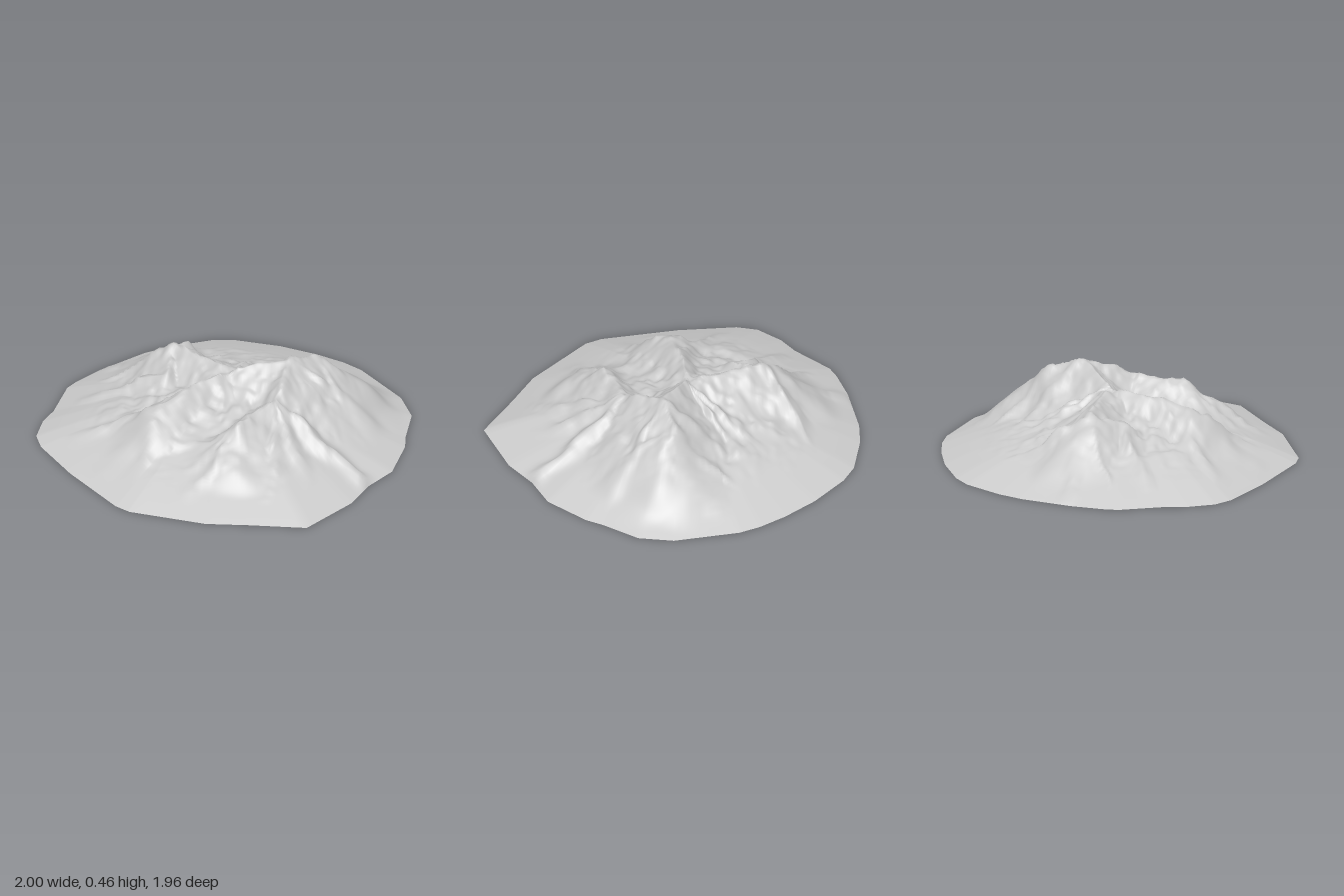
import * as THREE from 'three';

const { lerp, clamp, smoothstep } = THREE.MathUtils;

// Foot of the mountain as [x, z], clockwise seen from above
const FOOT = [
  [-1, -.1], [-.98, -.18], [-.91, -.35], [-.76, -.61], [-.66, -.73], [-.47, -.89], [-.35, -.94], [-.1, -.98],
  [.12, -.98], [.29, -.96], [.41, -.925], [.73, -.74], [.86, -.59], [.92, -.37], [.96, -.27], [1, 0],
  [.945, .19], [.93, .4], [.81, .74], [.51, .84], [.28, .925], [-.155, .975], [-.25, .95], [-.62, .73],
  [-.88, .535], [-.95, .44], [-.98, .28], [-.97, .155],
];

// Tops as [x, z, height]
const TOPS = {
  saddle: [.02, -.05, .39], summit: [.3, -.18, .475], back: [.41, -.34, .4], east: [.36, .1, .36],
  front: [.23, .4, .35], middle: [-.14, .2, .365], west: [-.24, .36, .35], left: [-.42, -.21, .375],
  ledge: [-.38, -.02, .31], shoulder: [.55, -.25, .29],
};

// Crests that join the tops
const CRESTS = [
  'left saddle', 'saddle summit', 'summit back', 'summit east', 'east front', 'saddle middle', 'middle west',
  'left ledge', 'summit shoulder', 'back shoulder',
];

// Spurs running down from each top to these points [x, z]
const SPURS = {
  summit: [[.77, -.09]],
  shoulder: [[.76, -.34]],
  back: [[.43, -.73], [.22, -.71], [.62, -.55]],
  east: [[.87, .17], [.7, .44], [.53, .64]],
  front: [[.13, .76], [0, .68], [.38, .66]],
  middle: [[-.7, .49]],
  west: [[-.4, .68], [-.21, .74]],
  left: [[-.78, -.34], [-.8, -.13], [-.36, -.68]],
  ledge: [[-.82, .07]],
  saddle: [[-.12, -.74], [.06, -.72]],
};
const SPUR_END = .08;

const RIDGES = [
  ...CRESTS.map((c) => c.split(' ').map((name) => TOPS[name])),
  ...Object.entries(SPURS).flatMap(([name, ends]) => ends.map((e) => [TOPS[name], [...e, SPUR_END]])),
];

// Smooth value noise on a hashed lattice
function hash(i, j) {
  const s = Math.sin(i * 127.1 + j * 311.7) * 43758.5453;
  return s - Math.floor(s);
}
function noise(x, z) {
  const i = Math.floor(x), j = Math.floor(z);
  const u = smoothstep(x - i, 0, 1), v = smoothstep(z - j, 0, 1);
  return lerp(lerp(hash(i, j), hash(i + 1, j), u), lerp(hash(i, j + 1), hash(i + 1, j + 1), u), v) - .5;
}

// Height a ridge gives at a point: its crest falling away to both sides
function ridgeHeight([[ax, az, ay], [bx, bz, by]], x, z) {
  const dx = bx - ax, dz = bz - az;
  const s = clamp(((x - ax) * dx + (z - az) * dz) / (dx * dx + dz * dz), 0, 1);
  return lerp(ay, by, s) - .85 * Math.hypot(x - ax - s * dx, z - az - s * dz);
}

function smoothMax(a, b, k) {
  const h = Math.max(k - Math.abs(a - b), 0) / k;
  return Math.max(a, b) + h * h * k * .25;
}

// t is the share of the way from the middle to the foot
function terrainHeight(x, z, t) {
  // bend the crest lines a little so that they wander
  const wx = x + .05 * noise(x * 8 + 3, z * 8), wz = z + .05 * noise(x * 8, z * 8 + 17);
  const crest = Math.max(...RIDGES.map((r) => ridgeHeight(r, wx, wz)));
  // valley floors and skirt: a slightly swelling cone
  const valley = (.31 + .12 * t) * (1 - t);
  const rough = .025 * noise(x * 13, z * 13) + .022 * noise(x * 28 + 5, z * 28);
  const fade = smoothstep(1 - t, .18, .5);
  return clamp(smoothMax(valley, crest, .03) + rough * fade, 0, .472);
}

// Open shell of rings shrinking from the foot to the middle
function mountainGeometry(rings, split) {
  const n = FOOT.length * split;
  const pos = [0, terrainHeight(0, 0, 0), 0], index = [];
  const id = (j, i) => (j === 0 ? 0 : 1 + (j - 1) * n + (i % n));
  for (let j = 1; j <= rings; j++) {
    const t = j / rings;
    for (let i = 0; i < n; i++) {
      const k = Math.floor(i / split), s = (i % split) / split;
      const a = FOOT[k], b = FOOT[(k + 1) % FOOT.length];
      const x = t * lerp(a[0], b[0], s), z = t * lerp(a[1], b[1], s);
      pos.push(x, j === rings ? 0 : terrainHeight(x, z, t), z);
    }
  }
  for (let j = 0; j < rings; j++) {
    for (let i = 0; i < n; i++) {
      index.push(id(j, i), id(j + 1, i + 1), id(j + 1, i));
      if (j > 0) index.push(id(j, i), id(j, i + 1), id(j + 1, i + 1));
    }
  }
  const geo = new THREE.BufferGeometry();
  geo.setAttribute('position', new THREE.Float32BufferAttribute(pos, 3));
  geo.setIndex(index);
  geo.computeVertexNormals();
  return geo;
}

export function createModel() {
  const group = new THREE.Group();
  group.name = 'mountain';
  const material = new THREE.MeshStandardMaterial({ color: 0xcccccc, side: THREE.DoubleSide });
  const slopes = new THREE.Mesh(mountainGeometry(64, 7), material);
  slopes.name = 'mountainSlopes';
  group.add(slopes);
  return group;
}
